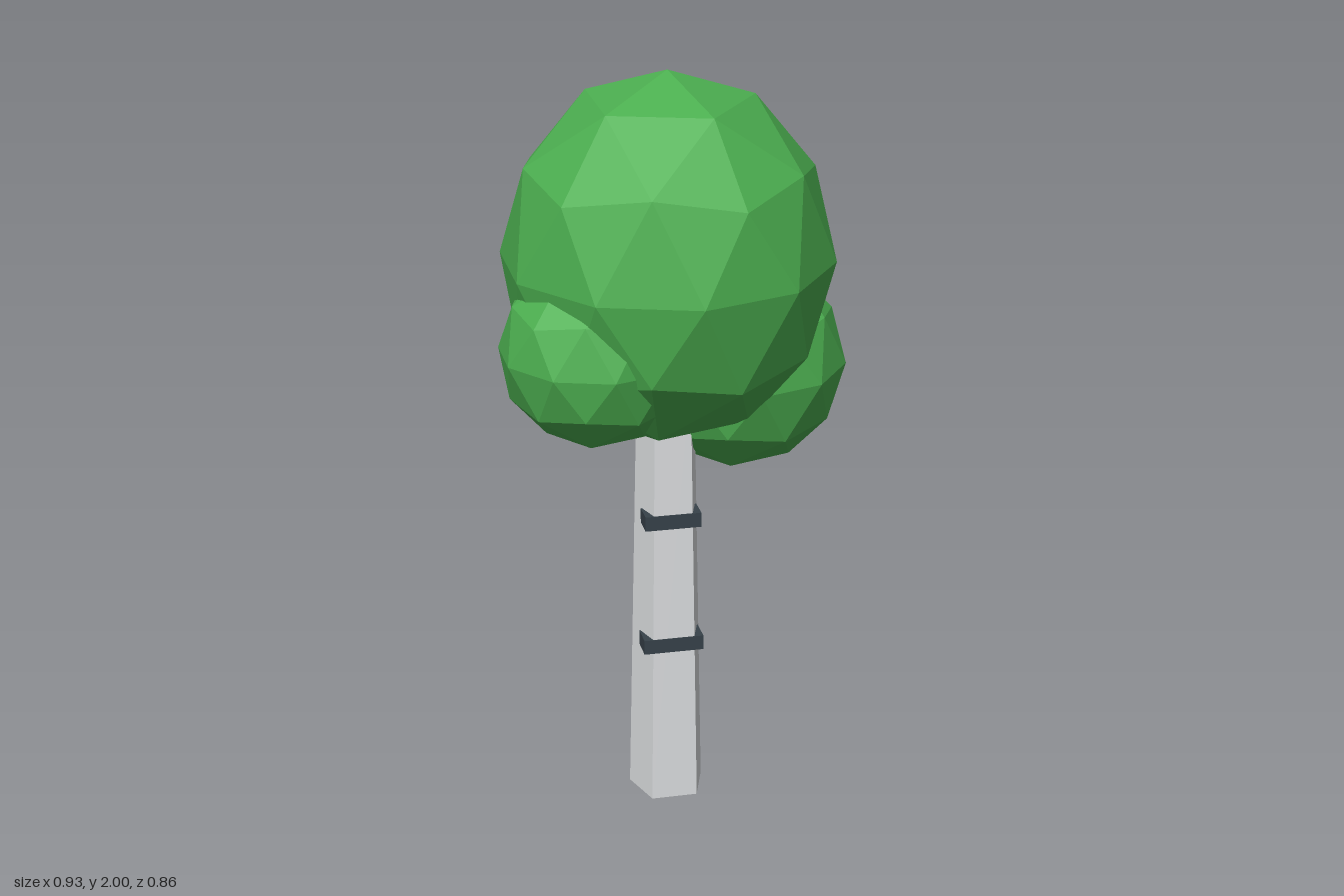
import * as THREE from 'three';

const leaf = new THREE.MeshStandardMaterial({ color: 0x4caf50, flatShading: true });
leaf.name = 'leafGreen';
const bark = new THREE.MeshStandardMaterial({ color: 0xdcdee0, flatShading: true });
bark.name = 'paleBark';
const mark = new THREE.MeshStandardMaterial({ color: 0x37424a, flatShading: true });
mark.name = 'darkBark';

function add(parent, name, geometry, material, x, y, z) {
  const mesh = new THREE.Mesh(geometry, material);
  mesh.name = name;
  mesh.position.set(x, y, z);
  parent.add(mesh);
  return mesh;
}

// Faceted leaf ball with a vertex at the top and bottom
function crownGeometry(radius, halfHeight) {
  const geometry = new THREE.IcosahedronGeometry(1, 1);
  geometry.rotateX(-Math.atan((1 + Math.sqrt(5)) / 2));
  geometry.rotateY(Math.PI / 2);
  geometry.scale(radius, halfHeight, radius);
  geometry.computeVertexNormals();
  return geometry;
}

export function createModel() {
  const tree = new THREE.Group();
  tree.name = 'tree';
  const cx = -0.02;

  // Five-sided tapering trunk, one corner to the back
  const height = 1.2;
  add(tree, 'trunk', new THREE.CylinderGeometry(0.08, 0.105, height, 5, 1, false, Math.PI),
    bark, cx, height / 2, 0);

  // Foliage
  add(tree, 'mainCrown', crownGeometry(0.43, 0.485), leaf, cx, 1.515, 0);
  add(tree, 'leftCrown', crownGeometry(0.29, 0.285), leaf, 0.19, 1.18, -0.115);
  add(tree, 'rightCrown', crownGeometry(0.25, 0.25), leaf, -0.227, 1.32, 0.115);

  // Two rows of dark bark marks: one wide in front, two small behind
  for (const [y, s] of [[0.455, 1.04], [0.81, 0.97]]) {
    const row = new THREE.Group();
    row.name = 'barkMarks';
    row.position.set(cx, y, 0);
    tree.add(row);
    add(row, 'frontMark', new THREE.BoxGeometry(0.154 * s, 0.04, 0.065 * s), mark, 0, 0, 0.043 * s);
    for (const side of [-1, 1]) {
      add(row, 'backMark', new THREE.BoxGeometry(0.055 * s, 0.04, 0.05 * s), mark,
        side * 0.048 * s, 0, -0.047 * s);
    }
  }
  return tree;
}
